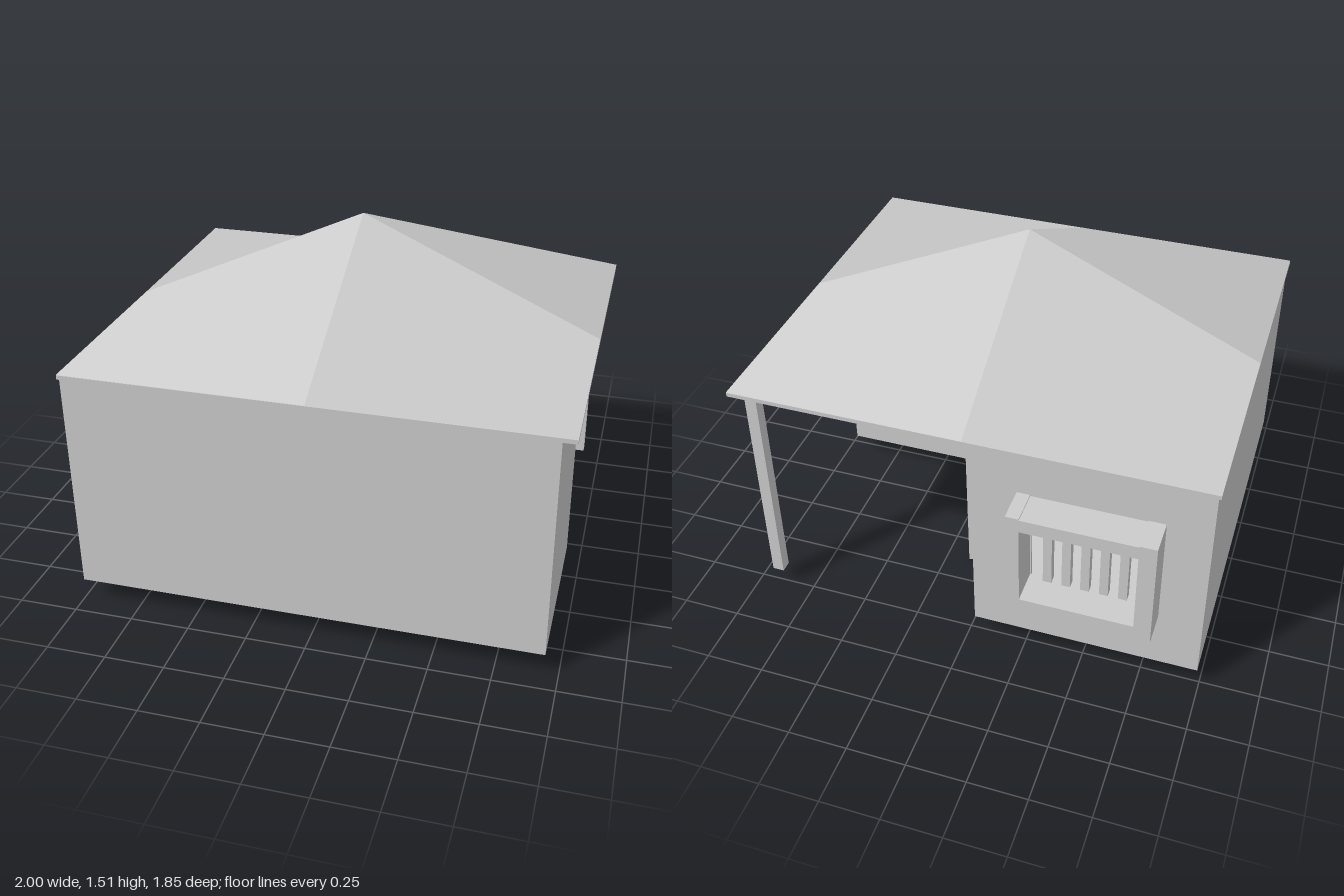
import * as THREE from 'three';

const material = new THREE.MeshStandardMaterial({ color: 0xcccccc, side: THREE.DoubleSide });
const T = 0.012; // wall thickness
const BASE = 0.1, TOP = 1.045;

function add(group, name, geometry) {
  const mesh = new THREE.Mesh(geometry, material);
  mesh.name = name;
  group.add(mesh);
  return mesh;
}

// Box given by its limits on each axis
function block(group, name, [x0, x1], [y0, y1], [z0, z1]) {
  const g = new THREE.BoxGeometry(x1 - x0, y1 - y0, z1 - z0);
  g.translate((x0 + x1) / 2, (y0 + y1) / 2, (z0 + z1) / 2);
  return add(group, name, g);
}

// Thin wall with one rectangular opening, extruded along z
function openWall([u0, u1], [h0, h1], [v0, v1]) {
  const rect = (Type, a, b, c, d) => {
    const p = new Type();
    p.moveTo(a, c).lineTo(b, c).lineTo(b, d).lineTo(a, d).closePath();
    return p;
  };
  const shape = rect(THREE.Shape, u0, u1, BASE, TOP);
  shape.holes.push(rect(THREE.Path, h0, h1, v0, v1));
  return new THREE.ExtrudeGeometry(shape, { depth: T, bevelEnabled: false });
}

// Roof top: a two by two grid of bent quads with a raised centre
function roofGeometry() {
  const eave = 1.06, apex = [0, 1.515, 0.07];
  const position = [], normal = [];
  for (const sx of [-1, 1]) for (const sz of [-1, 1]) {
    const ez = sz > 0 ? 0.925 : -0.785;
    const corner = [sx, eave, ez], midX = [sx, eave, 0.07], midZ = [0, eave, ez];
    const tris = sx * sz < 0
      ? [[apex, corner, midZ], [apex, midX, corner]]
      : [[apex, midZ, midX], [midZ, corner, midX]];
    const n = new THREE.Vector3(0.228 * sx, 1, 0.266 * sz).normalize();
    for (const p of tris.flat()) {
      position.push(...p);
      normal.push(n.x, n.y, n.z);
    }
  }
  const g = new THREE.BufferGeometry();
  g.setAttribute('position', new THREE.Float32BufferAttribute(position, 3));
  g.setAttribute('normal', new THREE.Float32BufferAttribute(normal, 3));
  return g;
}

export function createModel() {
  const house = new THREE.Group();
  house.name = 'house';

  // Roof with its flat eave slab
  const roof = new THREE.Group();
  roof.name = 'roof';
  house.add(roof);
  add(roof, 'roofTop', roofGeometry());
  block(roof, 'eaveSlab', [-1, 1], [1.04, 1.058], [-0.785, 0.925]);

  // L-shaped walls around the corner porch
  const walls = new THREE.Group();
  walls.name = 'walls';
  house.add(walls);
  const wallY = [BASE, TOP];
  block(walls, 'frontWall', [-0.99, 0.945], wallY, [0.922 - T, 0.922]);
  block(walls, 'leftWall', [-0.99, -0.99 + T], wallY, [-0.78, 0.92]);
  block(walls, 'rightWall', [0.945 - T, 0.945], wallY, [0.18, 0.92]);
  block(walls, 'porchSideWall', [-0.03, 0.945], wallY, [0.18, 0.18 + T]);

  const back = openWall([-0.99, -0.03], [-0.74, -0.28], [0.43, 0.8]);
  add(walls, 'backWall', back.translate(0, 0, -0.78));
  const porch = openWall([-0.18, 0.78], [-0.09, 0.3], [BASE + 0.01, 0.8]);
  add(walls, 'doorWall', porch.rotateY(Math.PI / 2).translate(-0.03 - T, 0, 0));

  // Floor follows the L plan
  block(house, 'frontFloor', [-0.99, 0.945], [BASE, BASE + 0.01], [0.18, 0.92]);
  block(house, 'backFloor', [-0.99, -0.03], [BASE, BASE + 0.01], [-0.78, 0.18]);

  // Porch post
  block(house, 'porchPost', [0.88, 0.93], [0.08, 1.045], [-0.77, -0.72]);

  // Door frame whose jambs reach below the floor with slanted feet
  const door = new THREE.Group();
  door.name = 'doorFrame';
  house.add(door);
  for (const z of [[0.09, 0.17], [-0.375, -0.3]]) {
    const jamb = block(door, 'doorJamb', [-0.035, 0.145], [0, 0.86], z);
    const p = jamb.geometry.attributes.position;
    for (let i = 0; i < p.count; i++) {
      if (p.getY(i) < 0.1) p.setY(i, p.getX(i) > 0 ? 0 : 0.06);
    }
    jamb.geometry.computeVertexNormals();
  }
  block(door, 'doorLintel', [-0.035, 0.135], [0.8, 0.858], [-0.3, 0.09]);

  // Deep window frame with upright bars
  const win = new THREE.Group();
  win.name = 'window';
  house.add(win);
  const depth = [-0.925, -0.77];
  block(win, 'windowJamb', [-0.81, -0.74], [0.36, 0.86], depth);
  block(win, 'windowJamb', [-0.275, -0.22], [0.36, 0.86], depth);
  block(win, 'windowHead', [-0.74, -0.275], [0.795, 0.855], depth);
  block(win, 'windowSill', [-0.74, -0.275], [0.36, 0.43], depth);
  for (let i = 0; i < 5; i++) {
    const x = -0.665 + i * 0.078;
    block(win, 'windowBar', [x - 0.018, x + 0.018], [0.43, 0.795], [-0.8, -0.765]);
  }

  return house;
}
